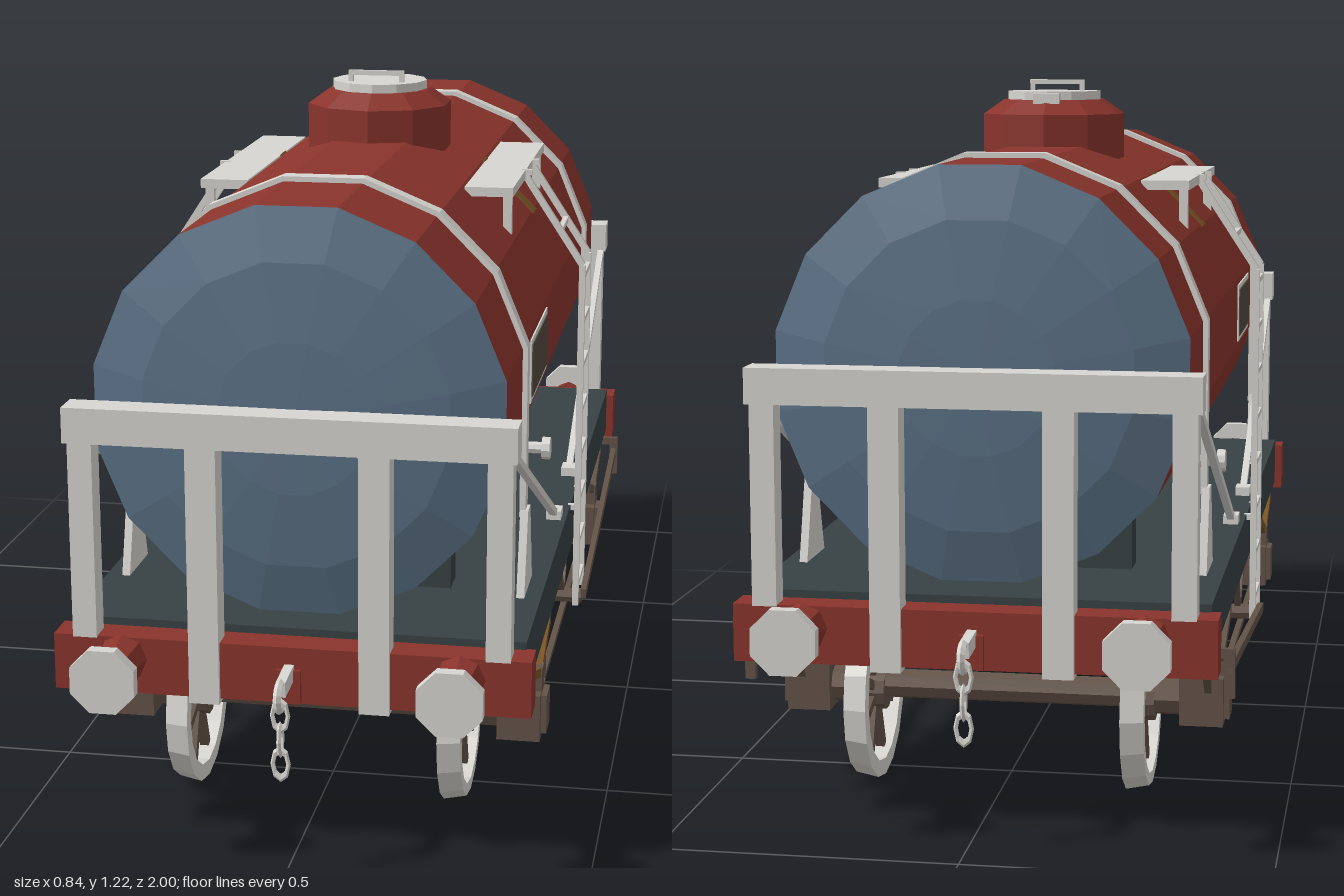
import * as THREE from 'three';

const mat = (name, color) => new THREE.MeshStandardMaterial({ name, color, flatShading: true });
const V = (x, y, z) => new THREE.Vector3(x, y, z);
const SIDES = [-1, 1];

export function createModel() {
  const model = new THREE.Group();
  model.name = 'tankWagon';
  const red = mat('tankRed', 0x8a342c), blue = mat('endBlue', 0x5b7186), white = mat('offWhite', 0xd8d6d1);
  const slate = mat('deckSlate', 0x374143), brown = mat('frameBrown', 0x635348);
  const olive = mat('panelOlive', 0x524a40), gold = mat('rustGold', 0x7a5526);

  const add = (name, geo, material, x = 0, y = 0, z = 0) => {
    const m = new THREE.Mesh(geo, material);
    m.name = name;
    m.position.set(x, y, z);
    model.add(m);
    return m;
  };
  // Box given by its limits on each axis
  const box = (name, m, x0, x1, y0, y1, z0, z1) => add(name,
    new THREE.BoxGeometry(Math.abs(x1 - x0), Math.abs(y1 - y0), Math.abs(z1 - z0)), m,
    (x0 + x1) / 2, (y0 + y1) / 2, (z0 + z1) / 2);
  // Straight bar between two points
  const bar = (name, m, a, b, w = 0.012, h = w) => {
    const o = add(name, new THREE.BoxGeometry(w, h, a.distanceTo(b)), m);
    o.position.copy(a).add(b).multiplyScalar(0.5);
    o.lookAt(b);
    return o;
  };
  // Cylinder lying along x
  const cylX = (name, m, r, len, n, x, y, z) =>
    add(name, new THREE.CylinderGeometry(r, r, len, n).rotateZ(Math.PI / 2), m, x, y, z);
  const lathe = (pts, n, start = 0) =>
    new THREE.LatheGeometry(pts.map(p => new THREE.Vector2(...p)), n, start);

  // Sixteen-sided tank barrel, flat on top, with shallow domed ends
  const R = 0.35, CY = 0.757, STEP = Math.PI / 8;
  add('tankBarrel', new THREE.CylinderGeometry(R, R, 1.58, 16, 1, true, STEP / 2).rotateX(Math.PI / 2), red, 0, CY, 0);
  for (const s of SIDES) {
    const end = add('tankEnd', lathe([[R, 0.79], [0.26, 0.815], [0.13, 0.829], [0, 0.833]], 16, STEP / 2)
      .rotateX(Math.PI / 2), blue, 0, CY, 0);
    if (s < 0) end.rotation.y = Math.PI;
  }

  // Straps over the tank, their feet and the cradles below
  const arc = (r) => {
    const pts = [];
    for (let k = 0; k < 8; k++) pts.push(new THREE.Vector2(r * Math.cos((k + 0.5) * STEP), r * Math.sin((k + 0.5) * STEP)));
    return [new THREE.Vector2(pts[0].x, -0.23), ...pts, new THREE.Vector2(pts[7].x, -0.23)];
  };
  const strap = new THREE.Shape([...arc(0.359), ...arc(0.348).reverse()]);
  const foot = new THREE.Shape([[-0.062, 0.39], [0.062, 0.39], [0.017, 0.54], [-0.017, 0.54]].map(p => new THREE.Vector2(...p)));
  for (const z of [-0.55, 0.55]) {
    add('tankStrap', new THREE.ExtrudeGeometry(strap, { depth: 0.033, bevelEnabled: false }), white, 0, CY, z - 0.0165);
    box('tankCradle', slate, -0.225, 0.225, 0.39, 0.49, z - 0.03, z + 0.03);
    for (const s of SIDES)
      add('strapFoot', new THREE.ExtrudeGeometry(foot, { depth: 0.014, bevelEnabled: false }).rotateY(Math.PI / 2),
        white, s * 0.35 - 0.007, 0, z);
  }

  // Filler dome, lid, hinge and lid handle
  add('fillerDome', lathe([[0.137, 1.05], [0.137, 1.16], [0.098, 1.187], [0, 1.187]], 10), red);
  add('fillerLid', new THREE.CylinderGeometry(0.09, 0.09, 0.018, 12), white, 0, 1.194, 0);
  box('lidHinge', white, -0.025, 0.025, 1.18, 1.2, -0.105, -0.08);
  box('lidHandle', white, -0.053, 0.053, 1.215, 1.224, 0.035, 0.044);
  for (const s of SIDES) box('lidHandleLeg', white, s * 0.053, s * 0.044, 1.2, 1.216, 0.035, 0.044);

  // Deck and the drain beneath it
  box('deck', slate, -0.385, 0.385, 0.3, 0.395, -0.82, 0.82);
  box('drainBlock', red, -0.02, 0.02, 0.258, 0.302, 0.08, 0.115);

  for (const e of SIDES) {
    box('bufferBeam', red, -0.4, 0.4, 0.285, 0.382, e * 0.815, e * 0.876);
    // End guard frame
    box('guardRail', white, -0.373, 0.373, 0.715, 0.775, e * 0.83, e * 0.885);
    for (const s of SIDES) {
      box('outerGuardPost', white, s * 0.325, s * 0.366, 0.38, 0.72, e * 0.838, e * 0.88);
      box('innerGuardPost', white, s * 0.117, s * 0.168, 0.277, 0.72, e * 0.84, e * 0.885);
      bar('diagonalStay', white, V(s * 0.362, 0.72, e * 0.85), V(s * 0.362, 0.4, e * 0.14), 0.013);
      box('stayAnchor', white, s * 0.348, s * 0.376, 0.392, 0.412, e * 0.125, e * 0.165);
      // Buffers
      add('bufferHousing', new THREE.CylinderGeometry(0.024, 0.042, 0.1, 8).rotateX(e * Math.PI / 2), red, s * 0.283, 0.345, e * 0.925);
      add('bufferHead', new THREE.CylinderGeometry(0.058, 0.058, 0.022, 8, 1, false, Math.PI / 8).rotateX(Math.PI / 2),
        white, s * 0.283, 0.35, e * 0.989);
    }
    // Coupling hook and chain
    box('hookPlate', red, -0.02, 0.02, 0.287, 0.345, e * 0.87, e * 0.885);
    bar('hookShank', white, V(0, 0.34, e * 0.87), V(0, 0.335, e * 0.945), 0.016, 0.026);
    add('couplingHook', new THREE.TorusGeometry(0.022, 0.007, 5, 10, Math.PI * 1.4).rotateZ(-2.2).rotateY(-e * Math.PI / 2),
      white, 0, 0.325, e * 0.95);
    for (let i = 0; i < 3; i++)
      add('chainLink', new THREE.TorusGeometry(0.013, 0.004, 5, 8).scale(1, 1.9, 1).rotateY(i % 2 ? Math.PI / 2 : 0),
        white, 0, 0.293 - i * 0.042, e * 0.95);
  }

  for (const s of SIDES) {
    // Walkway with brackets and a strip on the tank facet below it
    box('walkway', white, s * 0.2, s * 0.288, 1.03, 1.047, -0.265, 0.265);
    for (const z of [-0.24, 0.24]) box('walkwayBracket', white, s * 0.268, s * 0.284, 0.955, 1.032, z - 0.007, z + 0.007);
    bar('tankStrip', gold, V(s * 0.294, 0.949, -0.04), V(s * 0.195, 1.048, -0.04), 0.036, 0.008);

    // Ladder: rails bend out around the tank
    const rail = [[0.285, 1.042], [0.298, 1.02], [0.398, 0.868], [0.398, 0.19]];
    for (const z of [-0.06, 0.06]) {
      for (let i = 0; i < 3; i++)
        bar('ladderRail', white, V(s * rail[i][0], rail[i][1], z), V(s * rail[i + 1][0], rail[i + 1][1], z), 0.012);
      bar('ladderTopArm', white, V(s * 0.28, 1.042, z), V(s * 0.3, 1.042, z), 0.011);
      bar('ladderDeckArm', white, V(s * 0.38, 0.39, z), V(s * 0.398, 0.39, z), 0.011);
    }
    for (let y = 0.23; y < 1; y += 0.088) {
      const x = y < 0.868 ? 0.398 : 0.398 - (y - 0.868) * 0.1 / 0.152;
      bar('ladderRung', white, V(s * x, y, -0.06), V(s * x, y, 0.06), 0.01);
    }

    // Framed panel on the upright tank facet
    box('panelFrame', white, s * 0.34, s * 0.346, 0.699, 0.813, 0.187, 0.452);
    box('panel', olive, s * 0.342, s * 0.348, 0.709, 0.803, 0.197, 0.442);

    // Outlet pipe and flange
    cylX('outletPipe', white, 0.012, 0.13, 8, s * 0.27, 0.488, 0);
    cylX('outletFlange', white, 0.022, 0.016, 10, s * 0.33, 0.488, 0);

    // Brake lever, its guide and the hanger at the middle
    bar('brakeLever', brown, V(s * 0.409, 0.195, 0.01), V(s * 0.409, 0.272, -0.75), 0.011, 0.018);
    box('leverGuide', brown, s * 0.4, s * 0.418, 0.22, 0.3, -0.75, -0.738);
    box('leverGuideArm', brown, s * 0.37, s * 0.418, 0.288, 0.304, -0.75, -0.738);
    for (const z of [-0.08, 0.12]) bar('brakeHanger', brown, V(s * 0.365, 0.305, z), V(s * 0.365, 0.2, 0), 0.012);
    bar('tieBar', brown, V(s * 0.365, 0.15, -0.37), V(s * 0.365, 0.15, 0.37), 0.011);
  }
  cylX('brakeShaft', brown, 0.015, 0.81, 8, 0, 0.188, 0);

  // Running gear for both axles
  for (const e of SIDES) {
    const z = e * 0.55;
    const springColour = e > 0 ? gold : brown;
    cylX('axle', brown, 0.026, 0.64, 8, 0, 0.168, z);
    for (const s of SIDES) {
      add('wheelTyre', lathe([[0.128, -0.02], [0.157, -0.02], [0.149, 0.02], [0.128, 0.02], [0.128, -0.02]], 16)
        .rotateZ(-s * Math.PI / 2), white, s * 0.24, 0.157, z);
      cylX('wheelHub', brown, 0.036, 0.05, 10, s * 0.24, 0.157, z);
      for (let k = 0; k < 8; k++) {
        const a = (k + 0.5) * Math.PI / 4, c = Math.cos(a), n = Math.sin(a);
        bar('wheelSpoke', brown, V(s * 0.24, 0.157 + 0.02 * n, z + 0.02 * c),
          V(s * 0.24, 0.157 + 0.133 * n, z + 0.133 * c), 0.016);
      }
      // Axle box, splayed guard struts and leaf spring
      cylX('axleCollar', brown, 0.033, 0.05, 8, s * 0.287, 0.165, z);
      box('axleBox', brown, s * 0.31, s * 0.386, 0.125, 0.21, z - 0.045, z + 0.045);
      box('axleBoxCover', brown, s * 0.38, s * 0.396, 0.135, 0.205, z - 0.028, z + 0.028);
      for (const d of SIDES) {
        bar('guardStrut', brown, V(s * 0.36, 0.3, z + d * 0.15), V(s * 0.36, 0.19, z + d * 0.035), 0.012, 0.022);
        bar('leafSpring', springColour, V(s * 0.372, 0.282, z + d * 0.13), V(s * 0.372, 0.238, z), 0.024, 0.016);
        box('springShackle', brown, s * 0.36, s * 0.384, 0.275, 0.305, z + d * 0.15, z + d * 0.13);
      }
      box('springBuckle', brown, s * 0.358, s * 0.386, 0.2, 0.25, z - 0.02, z + 0.02);
      // Drop strut that carries the tie bar
      bar('tieStrut', brown, V(s * 0.365, 0.3, e * 0.4), V(s * 0.365, 0.19, e * 0.372), 0.012);
      box('tieBracket', brown, s * 0.358, s * 0.372, 0.112, 0.2, e * 0.36, e * 0.382);
    }
  }
  return model;
}
